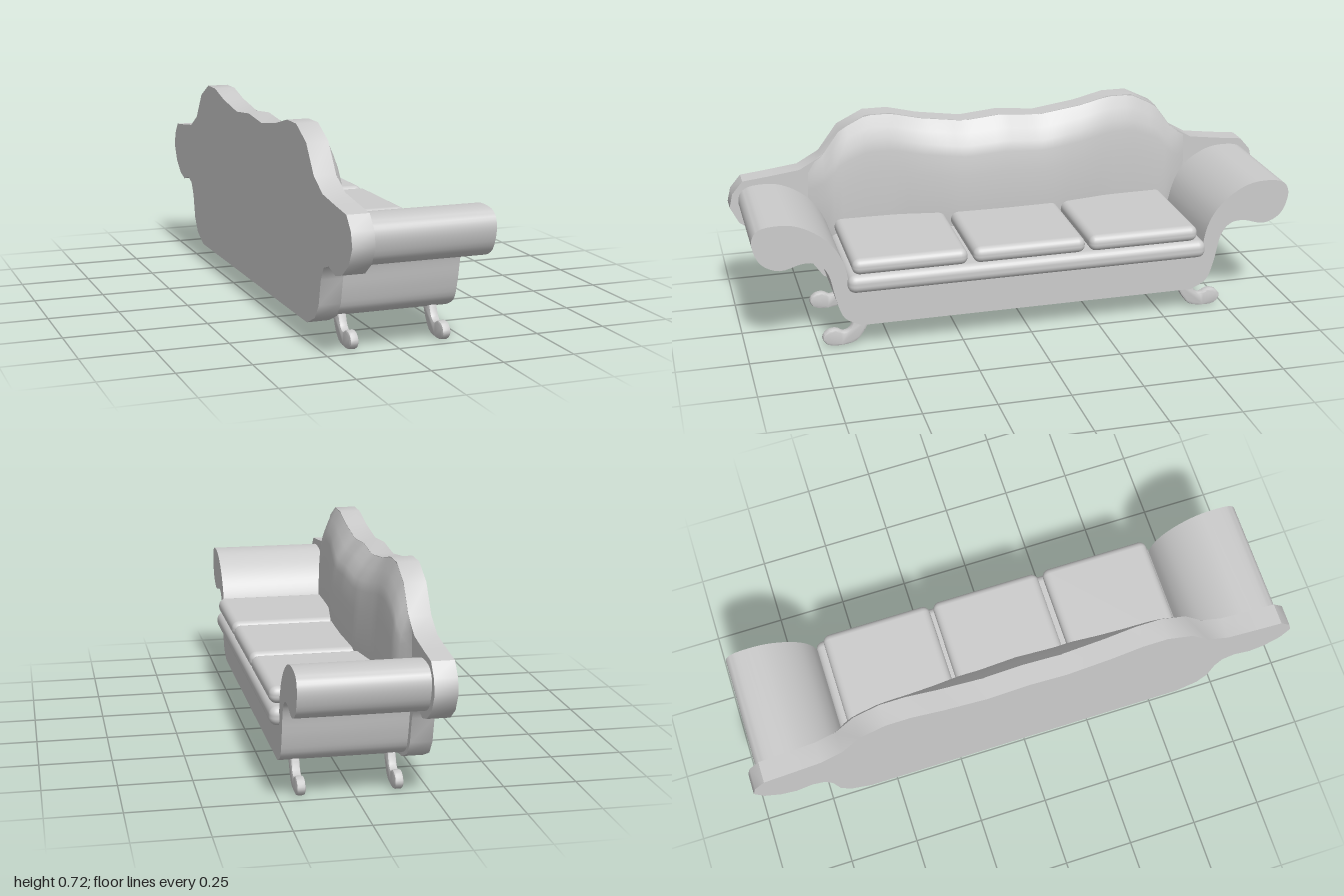
import * as THREE from 'three';
import { toCreasedNormals } from 'three/addons/utils/BufferGeometryUtils.js';
import { RoundedBoxGeometry } from 'three/addons/geometries/RoundedBoxGeometry.js';

const material = new THREE.MeshStandardMaterial({ color: 0xcccccc });
const padMaterial = new THREE.MeshStandardMaterial({ color: 0xcccccc, side: THREE.DoubleSide });

const vec = ([a, b]) => new THREE.Vector2(a, b);
const smooth = (pts, n) => new THREE.SplineCurve(pts.map(vec)).getPoints(n);

// Closes a half outline (z, y) by mirroring it across z = 0
function mirrored(half) {
  const other = half.filter((p) => p.x > 0.001).map((p) => new THREE.Vector2(-p.x, p.y)).reverse();
  return new THREE.Shape([...half, ...other]);
}

// Extrudes a (z, y) outline along x, from x0 to x1
function extrudeX(shape, x0, x1, bevel = 0) {
  const g = new THREE.ExtrudeGeometry(shape, {
    depth: x1 - x0 - 2 * bevel, bevelEnabled: bevel > 0,
    bevelSize: bevel, bevelThickness: bevel, bevelOffset: -bevel, bevelSegments: 2,
  });
  g.rotateY(Math.PI / 2).translate(x0 + bevel, 0, 0);
  return toCreasedNormals(g, 0.75);
}

// Upper edge of the back, from the centre to the shoulder
const crest = [[0, 0.68], [0.14, 0.667], [0.3, 0.69], [0.41, 0.717], [0.5, 0.717],
  [0.595, 0.67], [0.665, 0.575], [0.745, 0.53]];
const backEnd = [[0.86, 0.515], [0.95, 0.505], [0.988, 0.46], [1, 0.41], [0.97, 0.35],
  [0.915, 0.308], [0.86, 0.293], [0.8, 0.31], [0.755, 0.295], [0.73, 0.25],
  [0.71, 0.16], [0.675, 0.11], [0.6, 0.076]];

// Linear lookup in a list of [key, value]
function lookup(table, k) {
  for (let i = 1; i < table.length; i++) {
    const [a, va] = table[i - 1], [b, vb] = table[i];
    if (k <= b) return va + (vb - va) * Math.max(0, (k - a) / (b - a));
  }
  return table[table.length - 1][1];
}

// Bulging upholstery in front of the back panel
function paddingGeometry() {
  const depth = [[0, 0.085], [0.2, 0.08], [0.4, 0.05], [0.64, 0.042], [0.72, 0]];
  // [height from bottom to crest, share of depth, half width]
  const rows = [[0, 0, 0.6], [0, 0.35, 0.6], [0.25, 0.8, 0.66], [0.45, 1, 0.72], [0.68, 0.95, 0.72],
    [0.8, 0.85, 0.72], [0.86, 0.74, 0.72], [0.93, 0.4, 0.72], [1, 0, 0.72]];
  const cols = 48, pos = [], index = [];
  rows.forEach(([t, share, width], r) => {
    for (let c = 0; c <= cols; c++) {
      const u = (c / cols) * 2 - 1, z = u * width, key = Math.abs(u) * 0.72;
      const y = 0.078 + t * (lookup(crest, key) - 0.078);
      pos.push(-0.19 + lookup(depth, key) * share, y, z);
      if (r && c) {
        const d = r * (cols + 1) + c, b = d - cols - 1;
        index.push(b - 1, d - 1, b, b, d - 1, d);
      }
    }
  });
  const g = new THREE.BufferGeometry();
  g.setAttribute('position', new THREE.Float32BufferAttribute(pos, 3));
  g.setIndex(index);
  g.computeVertexNormals();
  return g;
}

export function createModel() {
  const group = new THREE.Group();
  const add = (name, geometry, mat = material) => {
    const mesh = new THREE.Mesh(geometry, mat);
    mesh.name = name;
    group.add(mesh);
    return mesh;
  };

  // Back panel with its waved crest
  add('backPanel', extrudeX(mirrored([...crest, ...backEnd].map(vec)), -0.265, -0.189));
  add('backPadding', paddingGeometry(), padMaterial);

  // Base and scrolled arms in one sweep
  const arm = smooth([[0.645, 0.26], [0.66, 0.33], [0.695, 0.395], [0.755, 0.45], [0.83, 0.484],
    [0.915, 0.486], [0.957, 0.465], [0.967, 0.42], [0.94, 0.355], [0.877, 0.325], [0.8, 0.343],
    [0.747, 0.335], [0.712, 0.29], [0.69, 0.195], [0.663, 0.125], [0.605, 0.092]], 60);
  add('baseAndArms', extrudeX(mirrored([vec([0, 0.25]), vec([0.64, 0.25]), ...arm]), -0.19, 0.232));

  // Long seat roll and three cushions
  add('seatRoll', new RoundedBoxGeometry(0.44, 0.066, 1.3, 3, 0.028)).position.set(0.043, 0.253, 0);
  for (const z of [-0.415, 0.005, 0.43]) {
    add('seatCushion', new RoundedBoxGeometry(0.44, 0.058, 0.405, 3, 0.026)).position.set(0.038, 0.315, z);
  }

  // Curled feet
  const foot = new THREE.Shape(smooth([[0.565, 0.1], [0.585, 0.055], [0.62, 0.013], [0.67, 0.002],
    [0.715, 0.006], [0.737, 0.032], [0.722, 0.058], [0.69, 0.065], [0.662, 0.052], [0.638, 0.065],
    [0.622, 0.1]], 30));
  for (const x of [-0.165, 0.16]) {
    const g = extrudeX(foot, x, x + 0.03, 0.007);
    add('footRight', g);
    add('footLeft', g).rotation.y = Math.PI;
    group.children.at(-1).position.x = 2 * x + 0.03;
  }
  return group;
}
